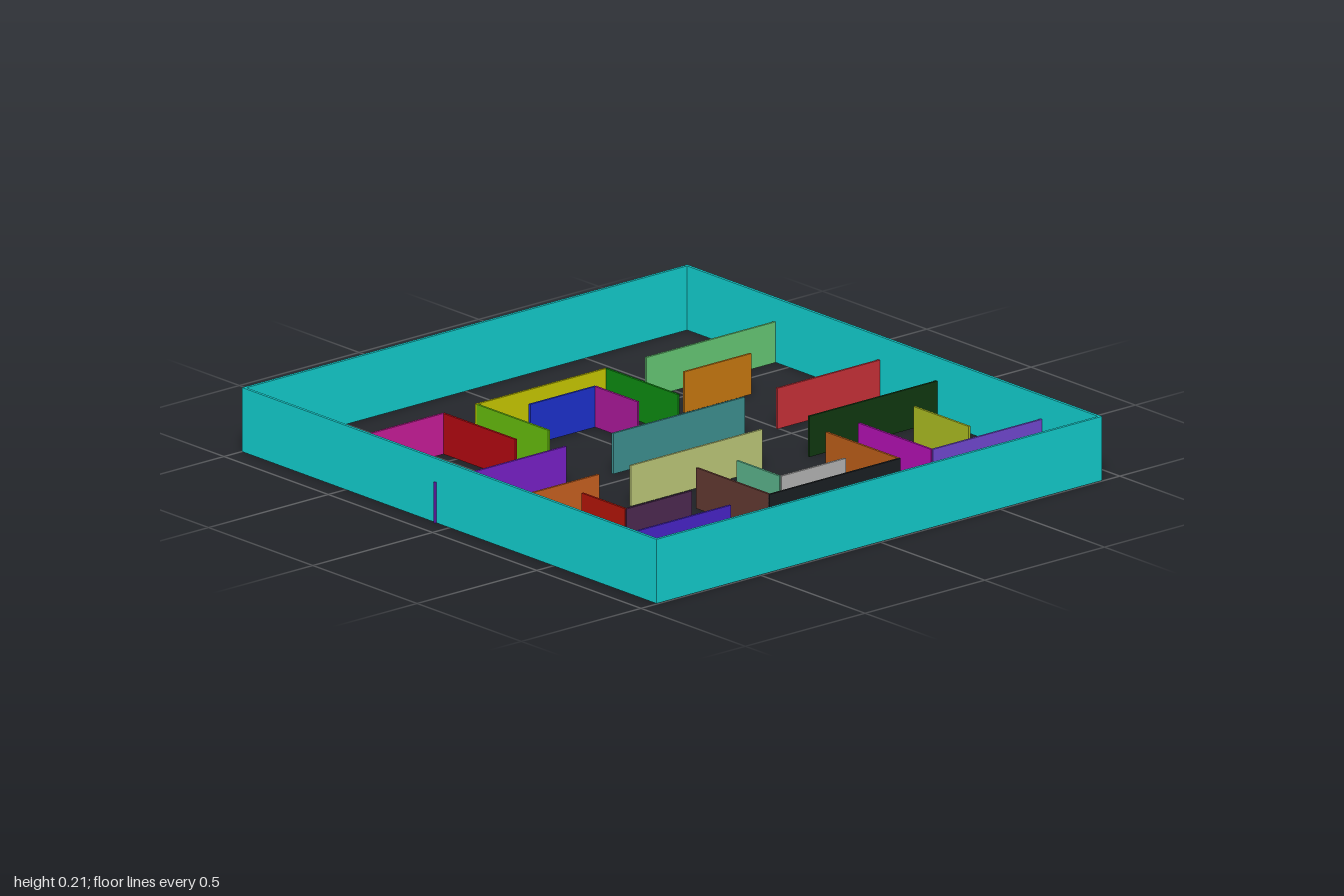
import * as THREE from 'three';

// Upright slab running from (x1, z1) to (x2, z2), standing on the ground
function wall(name, color, [x1, z1, x2, z2], height, thickness) {
  const dx = x2 - x1, dz = z2 - z1;
  const mesh = new THREE.Mesh(
    new THREE.BoxGeometry(Math.hypot(dx, dz), height, thickness),
    new THREE.MeshStandardMaterial({ color })
  );
  mesh.name = name;
  mesh.position.set((x1 + x2) / 2, height / 2, (z1 + z2) / 2);
  mesh.rotation.y = -Math.atan2(dz, dx);
  return mesh;
}

export function createModel() {
  const model = new THREE.Group();
  model.name = 'maze';

  // Tall outer frame
  const frame = new THREE.Group();
  frame.name = 'outerFrame';
  const frameWalls = {
    backWall: [-1, -0.93, 0.995, -0.925],
    frontWall: [-1, 0.92, 0.995, 0.927],
    rightWall: [-0.994, -0.933, -0.994, 0.925],
    leftWall: [0.991, -0.928, 0.991, 0.932],
  };
  for (const [name, ends] of Object.entries(frameWalls)) {
    frame.add(wall(name, 0x12cbcb, ends, 0.213, 0.01));
  }

  // Low partitions running front to back: colour, x, start z, end z
  const lengthwise = [
    [0x66c874, -0.567, -0.932, -0.385],
    [0xc87810, -0.38, -0.66, -0.38],
    [0xc83038, -0.065, -0.93, -0.495],
    [0x103810, 0.211, -0.938, -0.388],
    [0x7048d0, 0.714, -0.932, -0.465],
    [0x1a1e22, 0.714, -0.33, 0.217],
    [0xb4b4b4, 0.601, -0.2, 0.07],
    [0xbcc878, 0.211, -0.192, 0.358],
    [0x3c9090, -0.067, 0.19, -0.36],
    [0xc8c800, -0.568, -0.22, 0.325],
    [0x1c30cc, -0.456, -0.078, 0.198],
    [0xc81c98, -0.568, 0.46, 0.922],
    [0x7820c8, -0.067, 0.385, 0.935],
    [0xc86020, 0.211, 0.49, 0.927],
    [0x4c2850, 0.526, 0.378, 0.652],
    [0x4824c8, 0.714, 0.378, 0.927],
  ];
  // Low partitions running side to side: colour, z, start x, end x
  const crosswise = [
    [0xa8b820, -0.703, 0.355, 0.62],
    [0xb010b0, -0.464, 0.365, 0.714],
    [0xb85c18, -0.328, 0.365, 0.714],
    [0x603830, 0.213, 0.365, 0.714],
    [0x58b088, 0.07, 0.395, 0.601],
    [0x0c8810, -0.22, -0.568, -0.22],
    [0x64b80c, 0.321, -0.568, -0.22],
    [0xa81898, -0.077, -0.456, -0.25],
    [0xb00810, 0.459, -0.568, -0.22],
    [0xb01408, 0.65, 0.317, 0.526],
  ];
  const partitions = new THREE.Group();
  partitions.name = 'partitions';
  lengthwise.forEach(([color, x, z1, z2], i) =>
    partitions.add(wall(`lengthwisePartition${i + 1}`, color, [x, z1, x, z2], 0.135, 0.008)));
  crosswise.forEach(([color, z, x1, x2], i) =>
    partitions.add(wall(`crosswisePartition${i + 1}`, color, [x1, z, x2, z], 0.135, 0.008)));

  model.add(frame, partitions);
  return model;
}
